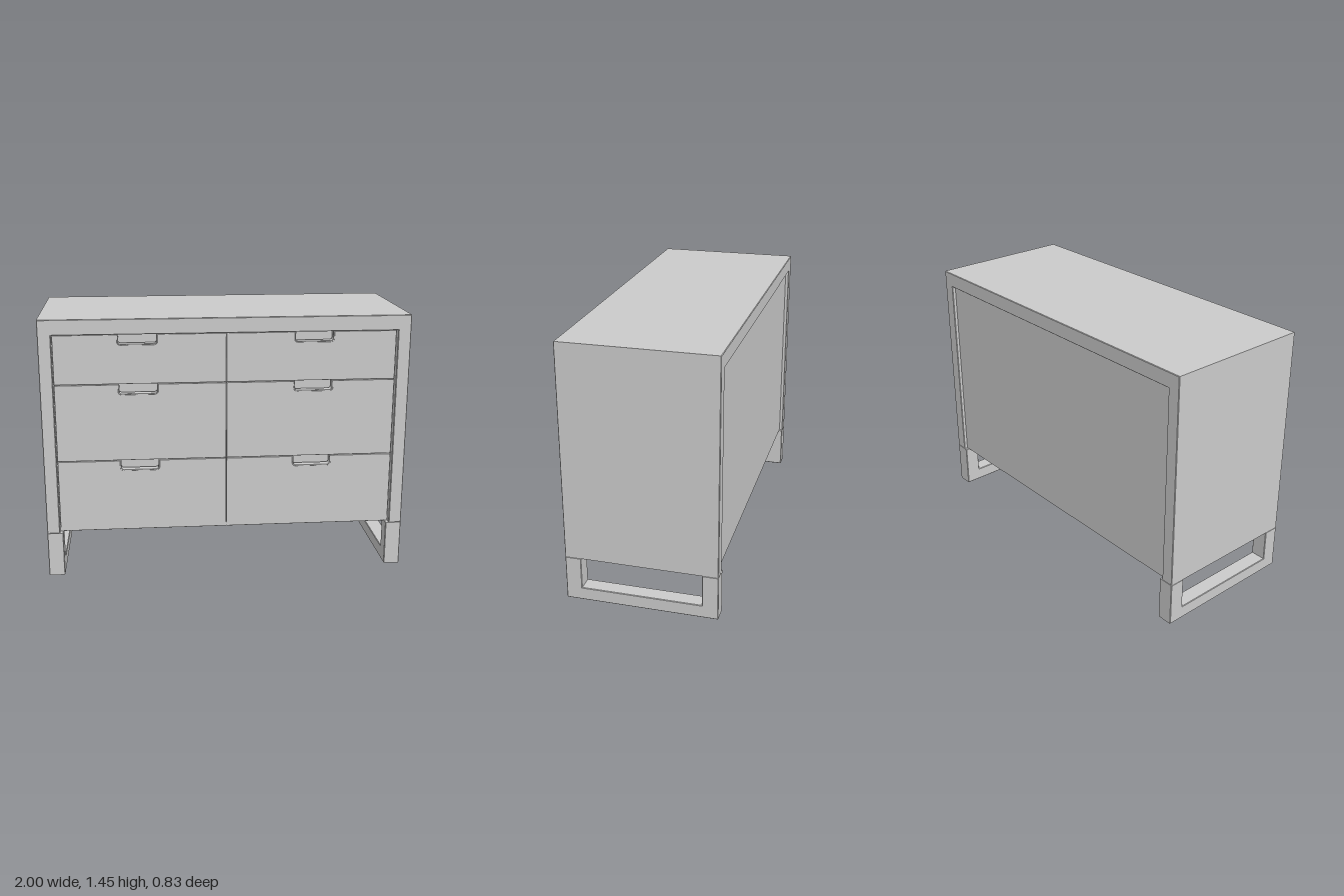
import * as THREE from 'three';

const material = new THREE.MeshStandardMaterial({ color: 0xcccccc });

function addMesh(parent, name, geometry, x = 0, y = 0, z = 0) {
  const mesh = new THREE.Mesh(geometry, material);
  mesh.name = name;
  mesh.position.set(x, y, z);
  parent.add(mesh);
  return mesh;
}

function polygon(points) {
  return new THREE.Shape(points.map(([x, y]) => new THREE.Vector2(x, y)));
}

// Extrusion with a slightly eased edge, filling z = 0..depth
function extrude(shape, depth, bevel = 0.003) {
  const geometry = new THREE.ExtrudeGeometry(shape, {
    depth: depth - 2 * bevel, bevelThickness: bevel, bevelSize: bevel,
    bevelOffset: -bevel, bevelSegments: 1, curveSegments: 6,
  });
  return geometry.translate(0, 0, bevel);
}

// U-shaped notch outline, open at the top, with rounded lower corners
function traceNotch(path, cx, top, halfWidth, depth, r) {
  const bottom = top - depth;
  path.lineTo(cx - halfWidth, top);
  path.lineTo(cx - halfWidth, bottom + r);
  path.quadraticCurveTo(cx - halfWidth, bottom, cx - halfWidth + r, bottom);
  path.lineTo(cx + halfWidth - r, bottom);
  path.quadraticCurveTo(cx + halfWidth, bottom, cx + halfWidth, bottom + r);
  path.lineTo(cx + halfWidth, top);
}

export function createModel() {
  const model = new THREE.Group();
  model.name = 'dresser';
  const H = 1.445, Y0 = 0.25, Z = 0.415, inner = 0.93, innerTop = 1.362;

  // Carcass: two sides and the top in one piece
  const shell = polygon([
    [-1, Y0], [-inner, Y0], [-inner, innerTop], [inner, innerTop],
    [inner, Y0], [1, Y0], [1, H], [-1, H],
  ]);
  addMesh(model, 'carcass', extrude(shell, 2 * Z), 0, 0, -Z);

  // Back and bottom panels, and the inner wall behind the drawer fronts
  const height = innerTop - Y0;
  addMesh(model, 'backPanel', new THREE.BoxGeometry(2 * inner, height, 0.02), 0, Y0 + height / 2, -Z + 0.03);
  addMesh(model, 'bottomPanel', new THREE.BoxGeometry(2 * inner, 0.02, 2 * Z - 0.07), 0, Y0 + 0.012, 0);
  addMesh(model, 'innerWall', new THREE.BoxGeometry(2 * inner, height - 0.01, 0.01), 0, Y0 + height / 2, 0.325);

  // Drawers: three rows of two, each with a notched pull in its top edge
  const rows = [[0.252, 0.654], [0.658, 1.084], [1.088, 1.356]];
  const pullX = 0.478, frontZ = 0.385, thickness = 0.04;
  rows.forEach(([bottom, top], row) => {
    for (const side of [-1, 1]) {
      const drawer = new THREE.Group();
      drawer.name = `drawer${side > 0 ? 'Left' : 'Right'}${row + 1}`;
      model.add(drawer);
      const x0 = side > 0 ? 0.001 : -0.927, x1 = side > 0 ? 0.927 : -0.001;
      const cx = side * pullX;

      const front = new THREE.Shape();
      front.moveTo(x0, bottom);
      front.lineTo(x0, top);
      traceNotch(front, cx, top, 0.108, 0.056, 0.02);
      front.lineTo(x1, top);
      front.lineTo(x1, bottom);
      front.closePath();
      addMesh(drawer, 'drawerFront', extrude(front, thickness, 0.001), 0, 0, frontZ - thickness);

      // Thin lining around the notch
      const rim = new THREE.Shape();
      rim.moveTo(cx - 0.108, top);
      traceNotch(rim, cx, top, 0.108, 0.056, 0.02);
      rim.lineTo(cx + 0.102, top);
      rim.lineTo(cx + 0.102, top - 0.034);
      rim.quadraticCurveTo(cx + 0.102, top - 0.05, cx + 0.086, top - 0.05);
      rim.lineTo(cx - 0.086, top - 0.05);
      rim.quadraticCurveTo(cx - 0.102, top - 0.05, cx - 0.102, top - 0.034);
      rim.lineTo(cx - 0.102, top);
      rim.closePath();
      addMesh(drawer, 'pullRim', extrude(rim, thickness + 0.003, 0.001), 0, 0, frontZ - thickness);
    }
  });

  // Sled legs: a rectangular loop under each side
  const loop = polygon([[-Z, 0], [Z, 0], [Z, Y0], [-Z, Y0]]);
  const opening = polygon([[-0.325, 0.07], [-0.325, Y0 - 0.012], [0.325, Y0 - 0.012], [0.325, 0.07]]);
  // The loop is open at the top, where the carcass closes it
  const sled = polygon([
    ...loop.getPoints().slice(0, 3).map((p) => [p.x, p.y]),
    [0.328, Y0], [0.328, 0.072], [-0.328, 0.072], [-0.328, Y0], [-Z, Y0],
  ]);
  for (const side of [-1, 1]) {
    const geometry = extrude(sled, 0.088).translate(0, 0, -0.044);
    addMesh(model, side > 0 ? 'leftLegFrame' : 'rightLegFrame', geometry, side * 0.956, 0, 0)
      .rotation.y = Math.PI / 2;
  }

  return model;
}
